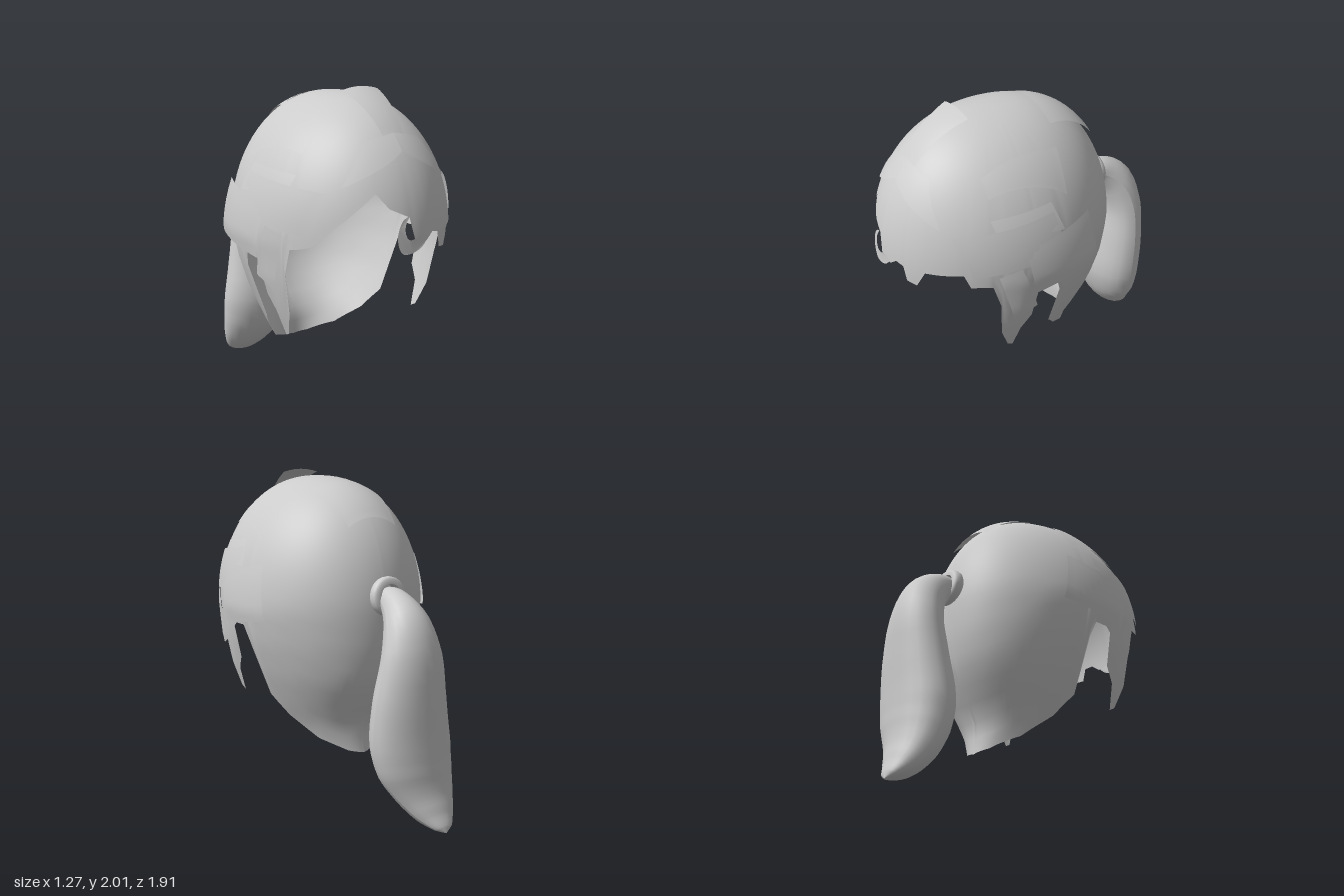
import * as THREE from 'three';

const { lerp, clamp, degToRad } = THREE.MathUtils;
const material = new THREE.MeshStandardMaterial({ color: 0xcccccc, side: THREE.DoubleSide });
const TOP = 1.98, MID = 1.2, ZC = 0.22;

// Linear lookup in a list of [key, value...] rows with rising keys
function lookup(rows, k, col = 1) {
  let i = 1;
  while (i < rows.length - 1 && rows[i][0] < k) i++;
  const a = rows[i - 1], b = rows[i];
  return lerp(a[col], b[col], clamp((k - a[0]) / (b[0] - a[0]), 0, 1));
}

// Below the widest level: y, half width, depth behind the centre
const lower = [[0.3, 0.25, 0.51], [0.4, 0.32, 0.5], [0.5, 0.36, 0.51], [0.6, 0.41, 0.57],
  [0.8, 0.495, 0.67], [1.0, 0.56, 0.71], [1.2, 0.6, 0.72]];

function slice(y) {
  if (y < MID) return { w: lookup(lower, y), front: 0.73, back: lookup(lower, y, 2) };
  const f = Math.sqrt(Math.max(0, 1 - ((y - MID) / (TOP - MID)) ** 2)), d = f ** 0.8;
  return { w: 0.6 * f, front: 0.73 * d, back: 0.72 * d };
}

// Point on the head: angle runs from the front (+z) towards the left (+x)
function headPoint(angle, y, offset = 0) {
  const s = slice(y), c = Math.cos(angle);
  const flare = y < MID ? 0.09 * (MID - y) * clamp(c * 4, 0, 1) : 0;
  const p = new THREE.Vector3((s.w + flare) * Math.sin(angle), y, ZC + c * (c > 0 ? s.front : s.back));
  const out = p.clone().sub(new THREE.Vector3(0, Math.min(y, MID), ZC)).normalize();
  return p.addScaledVector(out, offset);
}

// Point on the side of the head seen at (z, y)
function sidePoint(z, y, offset) {
  const s = slice(y), d = z - ZC;
  return headPoint(Math.acos(clamp(d / (d > 0 ? s.front : s.back), -1, 1)), y, offset);
}

// Point on the crown seen from above at (x, z)
function crownPoint(x, z, offset) {
  let lo = MID, hi = TOP;
  const d = z - ZC;
  for (let i = 0; i < 30; i++) {
    const y = (lo + hi) / 2, s = slice(y);
    if ((x / s.w) ** 2 + (d / (d > 0 ? s.front : s.back)) ** 2 > 1) hi = y; else lo = y;
  }
  const p = new THREE.Vector3(x, lo, z);
  return p.addScaledVector(p.clone().sub(new THREE.Vector3(0, MID, ZC)).normalize(), offset);
}

// Surface from rows of points
function grid(rows) {
  const n = rows[0].length, index = [];
  for (let r = 0; r < rows.length - 1; r++) {
    for (let c = 0; c < n - 1; c++) {
      const a = r * n + c, b = a + n;
      index.push(a, b, a + 1, a + 1, b, b + 1);
    }
  }
  const geometry = new THREE.BufferGeometry().setFromPoints(rows.flat());
  geometry.setIndex(index);
  geometry.computeVertexNormals();
  return geometry;
}

// Four-cornered lock lying on the head; each corner is [a, b, offset]
function lock(point, [p, q, r, s], side = 1, n = 10) {
  const rows = [];
  for (let i = 0; i <= n; i++) {
    const row = [];
    for (let j = 0; j <= n; j++) {
      const v = p.map((_, k) => lerp(lerp(p[k], q[k], j / n), lerp(s[k], r[k], j / n), i / n));
      const w = point(...v);
      w.x *= side;
      row.push(w);
    }
    rows.push(row);
  }
  return grid(rows);
}

// Hem height by angle in degrees: nape, ear gap and sideburn are shared by both sides
const sideHem = [[58, 1.2], [63, 1.19], [67, 1.04], [69, 0.8], [74, 0.65], [77, 0.63], [79, 0.78],
  [84, 0.87], [85, 1.07], [88, 1.1], [95, 1.1], [98, 1.0], [101, 0.66], [113, 0.53],
  [135, 0.4], [160, 0.33], [180, 0.31]];
const fringeHem = [[-52, 1.22], [-41, 1.33], [-30, 1.43], [-21, 1.51], [-14, 1.43], [-3, 1.38],
  [0, 1.26], [8, 1.24], [13, 1.28], [18, 1.27], [20, 1.18], [26, 1.17], [31, 1.27], [50, 1.28], [53, 1.2]];

function capGeometry() {
  const hem = [...sideHem.map(([a, y]) => [-a, y]).reverse(), ...fringeHem, ...sideHem];
  const angles = [];
  for (let i = 0; i < hem.length - 1; i++) {
    const a = hem[i][0], b = hem[i + 1][0], steps = Math.ceil((b - a) / 4);
    for (let k = 0; k < steps; k++) angles.push(lerp(a, b, k / steps));
  }
  angles.push(180);
  const rows = [];
  for (let r = 0; r <= 28; r++) {
    const drop = 1 - Math.cos((r / 28) * Math.PI / 2);
    rows.push(angles.map((a) => headPoint(degToRad(a), lerp(TOP, lookup(hem, a), drop))));
  }
  return grid(rows);
}

// Ponytail rings: x, y, z, half width, half thickness
function ponytailGeometry() {
  const rings = [[0, 1.3, -0.5, 0.07, 0.07], [0, 1.27, -0.59, 0.09, 0.095], [0, 1.17, -0.69, 0.14, 0.125],
    [0, 1.0, -0.74, 0.19, 0.135], [0, 0.75, -0.73, 0.235, 0.155], [-0.02, 0.5, -0.715, 0.26, 0.17],
    [-0.04, 0.33, -0.74, 0.24, 0.155], [-0.07, 0.2, -0.79, 0.19, 0.12], [-0.09, 0.1, -0.86, 0.13, 0.08],
    [-0.1, 0.035, -0.93, 0.06, 0.03], [-0.1, 0.01, -0.955, 0.002, 0.002]];
  const path = new THREE.CatmullRomCurve3(rings.map((r) => new THREE.Vector3(r[0], r[1], r[2])));
  const sizes = new THREE.CatmullRomCurve3(rings.map((r) => new THREE.Vector3(r[3], r[4], 0)));
  const rows = [];
  for (let i = 0; i <= 40; i++) {
    const p = path.getPoint(i / 40), s = sizes.getPoint(i / 40), t = path.getTangent(i / 40);
    const across = new THREE.Vector3(1, 0, 0);
    const thick = new THREE.Vector3().crossVectors(t, across).normalize();
    rows.push(Array.from({ length: 25 }, (_, j) => {
      const a = (j / 24) * Math.PI * 2;
      return p.clone().addScaledVector(across, s.x * Math.cos(a)).addScaledVector(thick, s.y * Math.sin(a));
    }));
  }
  return grid(rows);
}

// Small hooked curl at the middle of the fringe
function curlGeometry() {
  const v = (x, y) => new THREE.Vector2(x, y);
  const shape = new THREE.Shape();
  shape.moveTo(0.1, 1.27);
  shape.splineThru([v(0.04, 1.21), v(-0.04, 1.185), v(-0.09, 1.2), v(-0.11, 1.28), v(-0.08, 1.36), v(-0.03, 1.39)]);
  shape.splineThru([v(-0.06, 1.34), v(-0.06, 1.29), v(-0.03, 1.26), v(0.05, 1.28)]);
  const geometry = new THREE.ShapeGeometry(shape, 5), pos = geometry.attributes.position;
  for (let i = 0; i < pos.count; i++) {
    const x = pos.getX(i), y = pos.getY(i);
    pos.setZ(i, headPoint(Math.asin(x / slice(y).w), y, 0.006).z);
  }
  geometry.computeVertexNormals();
  return geometry;
}

export function createModel() {
  const group = new THREE.Group();
  const add = (name, geometry) => {
    const mesh = new THREE.Mesh(geometry, material);
    mesh.name = name;
    group.add(mesh);
    return mesh;
  };

  add('hairCap', capGeometry());
  add('fringeCurl', curlGeometry());
  add('ponytail', ponytailGeometry());

  // Rounded band round the root of the ponytail
  const band = [[0.07, -0.035], [0.1, -0.035], [0.112, -0.02], [0.115, 0], [0.112, 0.02], [0.1, 0.035], [0.07, 0.035], [0.07, -0.035]];
  const tie = add('hairTie', new THREE.LatheGeometry(band.map(([r, h]) => new THREE.Vector2(r, h)), 28));
  tie.rotation.x = Math.PI / 2 + 0.1;
  tie.position.set(0, 1.31, -0.515);

  // Overlapping locks on both sides
  for (const [side, label] of [[1, 'left'], [-1, 'right']]) {
    add(label + 'TempleLock', lock(sidePoint, [[0.71, 1.5, 0.015], [0.18, 1.55, 0.025], [0.13, 1.32, 0.03], [0.64, 1.27, 0.012]], side));
    add(label + 'UpperSideLock', lock(sidePoint, [[0.52, 1.58, 0.005], [0.18, 1.6, 0.02], [0.13, 1.44, 0.03], [0.5, 1.5, 0.01]], side));
    add(label + 'EarLock', lock(sidePoint, [[0.37, 1.39, 0.02], [-0.04, 1.47, 0.04], [-0.09, 1.16, 0.055], [0.32, 1.1, 0.03]], side));
    add(label + 'SideburnLock', lock(sidePoint, [[0.52, 1.26, 0.015], [0.4, 1.3, 0.03], [0.3, 1.0, 0.035], [0.43, 0.94, 0.03]], side));
    add(label + 'CrownSideLock', lock(crownPoint, [[0.35, 0.03, 0.012], [0.5, 0.06, 0.012], [0.42, 0.5, 0.008], [0.35, 0.5, 0.004]], side));
  }

  // Locks along the parting
  add('frontTuft', lock(crownPoint, [[-0.115, 0.42, 0.055], [0.115, 0.42, 0.055], [0.07, 0.74, 0.004], [-0.07, 0.74, 0.004]]));
  add('backTuft', lock(crownPoint, [[-0.23, -0.02, 0.003], [0.23, -0.02, 0.003], [0.16, -0.34, 0.025], [-0.16, -0.34, 0.025]]));
  for (const side of [1, -1]) {
    add('foreheadLock', lock(headPoint, [[0, 1.8, 0.004], [0.45 * side, 1.76, 0.004], [0.68 * side, 1.53, 0.012], [0, 1.7, 0.012]]));
  }
  return group;
}
